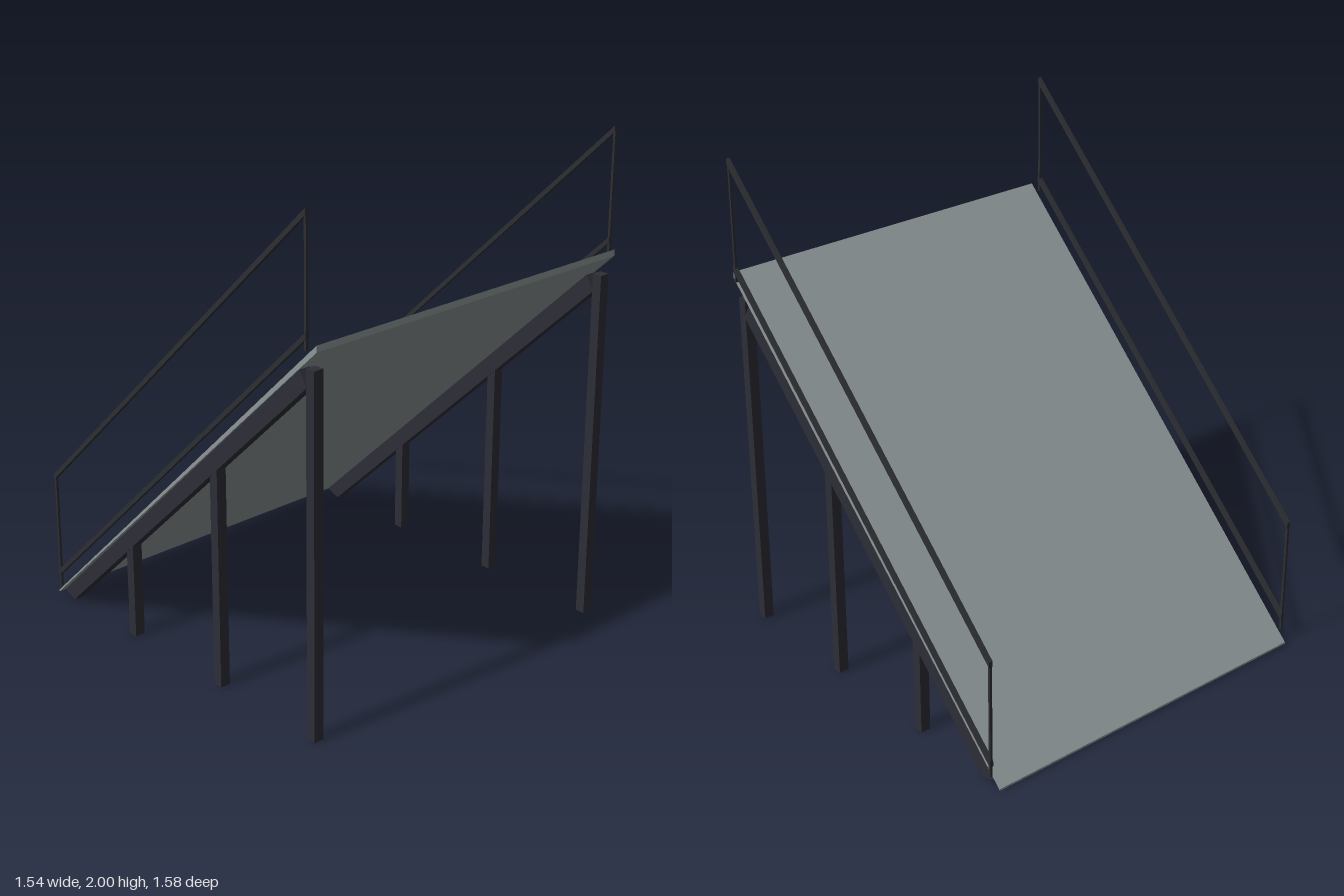
import * as THREE from 'three';

export function createModel() {
  const group = new THREE.Group();
  const deckGrey = new THREE.MeshStandardMaterial({ color: 0x8d9698 });
  const frameDark = new THREE.MeshStandardMaterial({ color: 0x2d2d36 });
  const railDark = new THREE.MeshStandardMaterial({ color: 0x2d2e32 });
  deckGrey.name = 'deckGrey';
  frameDark.name = 'frameDark';
  railDark.name = 'railDark';

  // Side outline given as [z, y] points, extruded across x
  function slab(name, points, x, width, material) {
    const shape = new THREE.Shape(points.map(([z, y]) => new THREE.Vector2(-z, y)));
    const geometry = new THREE.ExtrudeGeometry(shape, { depth: width, bevelEnabled: false });
    geometry.translate(0, 0, -width / 2).rotateY(Math.PI / 2);
    const mesh = new THREE.Mesh(geometry, material);
    mesh.name = name;
    mesh.position.x = x;
    group.add(mesh);
  }

  // Upright box standing between two heights
  function upright(name, x, z, bottom, top, width, depth, material) {
    const mesh = new THREE.Mesh(new THREE.BoxGeometry(width, top - bottom, depth), material);
    mesh.name = name;
    mesh.position.set(x, (top + bottom) / 2, z);
    group.add(mesh);
  }

  // Sloping deck, slightly thinner at the foot
  slab('deck', [[0.79, 1.53], [0.79, 1.505], [-0.79, 0.002], [-0.79, 0.01]], 0, 1.5, deckGrey);

  for (const [side, s] of [['left', 1], ['right', -1]]) {
    // Stringer beam under the deck edge
    slab(side + 'Beam', [[0.70, 1.418], [0.735, 1.36], [-0.69, 0.003], [-0.75, 0.028]],
      s * 0.724, 0.046, frameDark);

    // Support posts
    [[0.75, 1.43], [0.225, 0.92], [-0.30, 0.41]].forEach(([z, top], i) =>
      upright(side + 'Post' + (i + 1), s * 0.724, z, 0, top, 0.042, 0.04, frameDark));

    // Handrail and lower rail
    for (const [name, high, low] of [['Handrail', 2.0, 0.547], ['LowerRail', 1.572, 0.12]]) {
      slab(side + name, [[0.757, high], [0.757, high - 0.024], [-0.757, low - 0.024], [-0.757, low]],
        s * 0.762, 0.016, railDark);
    }

    // Rail uprights at both ends
    upright(side + 'UpperRailPost', s * 0.762, 0.752, 1.505, 1.985, 0.01, 0.01, railDark);
    upright(side + 'LowerRailPost', s * 0.762, -0.752, 0.05, 0.535, 0.01, 0.01, railDark);
  }
  return group;
}
